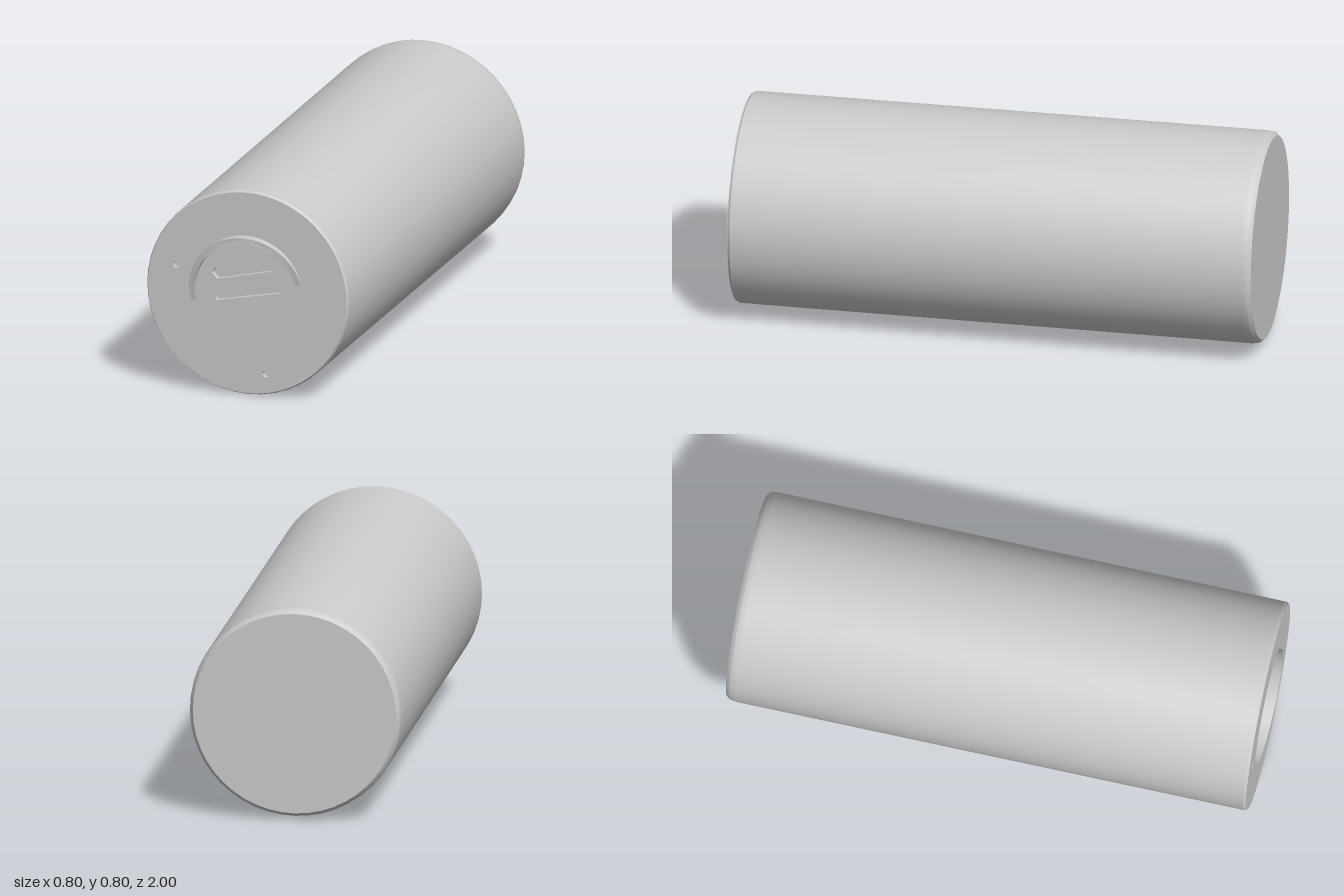
import * as THREE from 'three';
import { toCreasedNormals } from 'three/addons/utils/BufferGeometryUtils.js';

const material = new THREE.MeshStandardMaterial({ color: 0xcccccc });
const FACE_Z = 0.96, RECESS = 0.02;
// The axis leans slightly: its centre shifts along z
const axisX = (z) => -0.01 * z;
const axisY = (z) => 0.4 - 0.006 * z;

function addMesh(group, name, geometry, crease = 0.6) {
  const mesh = new THREE.Mesh(toCreasedNormals(geometry, crease), material);
  mesh.name = name;
  group.add(mesh);
  return mesh;
}

function moveVertices(geometry, rule) {
  const p = geometry.attributes.position, v = new THREE.Vector3();
  for (let i = 0; i < p.count; i++) {
    rule(v.fromBufferAttribute(p, i));
    p.setXYZ(i, v.x, v.y, v.z);
  }
  return geometry;
}

const points = (list) => list.map(([x, y]) => new THREE.Vector2(x, y));

export function createModel() {
  const group = new THREE.Group();
  group.name = 'cylinder';

  // Long body with small chamfers; its front floor closes the recesses
  const profile = points([
    [0, -1], [0.377, -1], [0.39, -0.985], [0.393, -0.96], [0.391, 0.95],
    [0.384, FACE_Z], [0.384, FACE_Z - RECESS], [0, FACE_Z - RECESS],
  ]);
  const body = new THREE.LatheGeometry(profile, 48).rotateX(Math.PI / 2);
  moveVertices(body, (v) => { v.x += axisX(v.z); v.y += axisY(v.z); });
  addMesh(group, 'body', body);

  // Front plate pierced by two slots and small round holes
  const plate = new THREE.Shape();
  plate.absarc(axisX(FACE_Z), axisY(FACE_Z), 0.385, 0, Math.PI * 2);
  const slots = [
    [[-0.125, 0.437], [0.085, 0.485], [0.093, 0.503], [0.08, 0.522], [0.06, 0.523],
      [0.02, 0.515], [-0.045, 0.519], [-0.065, 0.5], [-0.13, 0.483], [-0.146, 0.46]],
    [[-0.127, 0.355], [0.12, 0.405], [0.124, 0.421], [0.108, 0.425], [-0.125, 0.374], [-0.134, 0.365]],
  ];
  for (const slot of slots) plate.holes.push(new THREE.Path(points(slot)));
  for (const [x, y] of [[-0.285, 0.477], [0.063, 0.09]]) {
    plate.holes.push(new THREE.Path().absarc(x, y, 0.013, 0, Math.PI * 2, true));
  }
  const plateGeometry = new THREE.ExtrudeGeometry(plate, {
    depth: RECESS, bevelEnabled: false, curveSegments: 48,
  }).translate(0, 0, FACE_Z - RECESS);
  addMesh(group, 'frontPlate', plateGeometry);

  // Arched handle, standing out furthest at its crown
  const inner = 0.197, outer = 0.219;
  const arch = new THREE.Shape();
  arch.absarc(0, 0, outer, 0, Math.PI, false);
  arch.absarc(0, 0, inner, Math.PI, 0, true);
  const handle = new THREE.ExtrudeGeometry(arch, { depth: 1, bevelEnabled: false, curveSegments: 20 });
  moveVertices(handle, (v) => {
    const rise = Math.max(0, v.y) / Math.hypot(v.x, v.y);
    v.z = v.z > 0.5 ? FACE_Z + 0.004 + 0.036 * rise : FACE_Z - 0.005;
  });
  handle.rotateZ(0.23).translate(-0.012, 0.395, 0);
  addMesh(group, 'handle', handle);

  return group;
}
